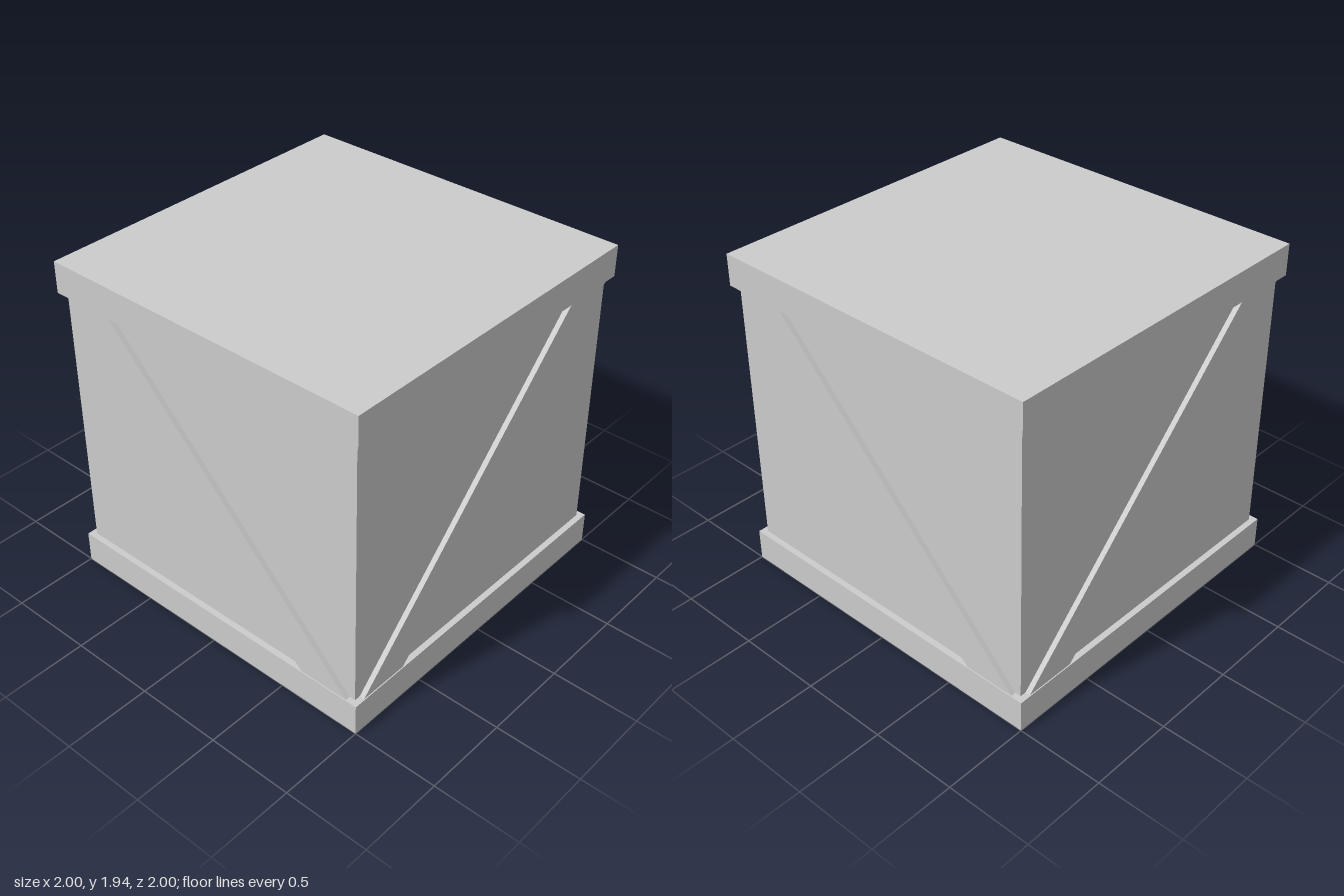
import * as THREE from 'three';

const BOTTOM = 0.185, TOP = 1.755, HEIGHT = 1.935;
const CORE = 0.965, BRACE_FACE = 0.994;

export function createModel() {
  const crate = new THREE.Group();
  crate.name = 'crate';
  const material = new THREE.MeshStandardMaterial({ color: 0xcccccc, flatShading: true });

  const addBox = (name, width, y0, y1) => {
    const mesh = new THREE.Mesh(new THREE.BoxGeometry(width, y1 - y0, width), material);
    mesh.position.y = (y0 + y1) / 2;
    mesh.name = name;
    crate.add(mesh);
  };

  // Base and lid slabs around a slightly inset body
  addBox('base', 2, 0, BOTTOM);
  addBox('body', 2 * CORE, BOTTOM, TOP);
  addBox('lid', 2, TOP, HEIGHT);

  // Diagonal brace on each side; the lean alternates so neighbours meet at corners
  ['frontBrace', 'rightBrace', 'backBrace', 'leftBrace'].forEach((name, i) => {
    const s = i % 2 ? -1 : 1;
    const points = [[-0.93, BOTTOM], [-0.63, BOTTOM], [0.93, TOP], [0.63, TOP]]
      .map(([x, y]) => new THREE.Vector2(s * x, y));
    const geometry = new THREE.ExtrudeGeometry(new THREE.Shape(points), {
      depth: BRACE_FACE - CORE, bevelEnabled: false,
    });
    geometry.translate(0, 0, CORE);
    const brace = new THREE.Mesh(geometry, material);
    brace.rotation.y = i * Math.PI / 2;
    brace.name = name;
    crate.add(brace);
  });

  return crate;
}
